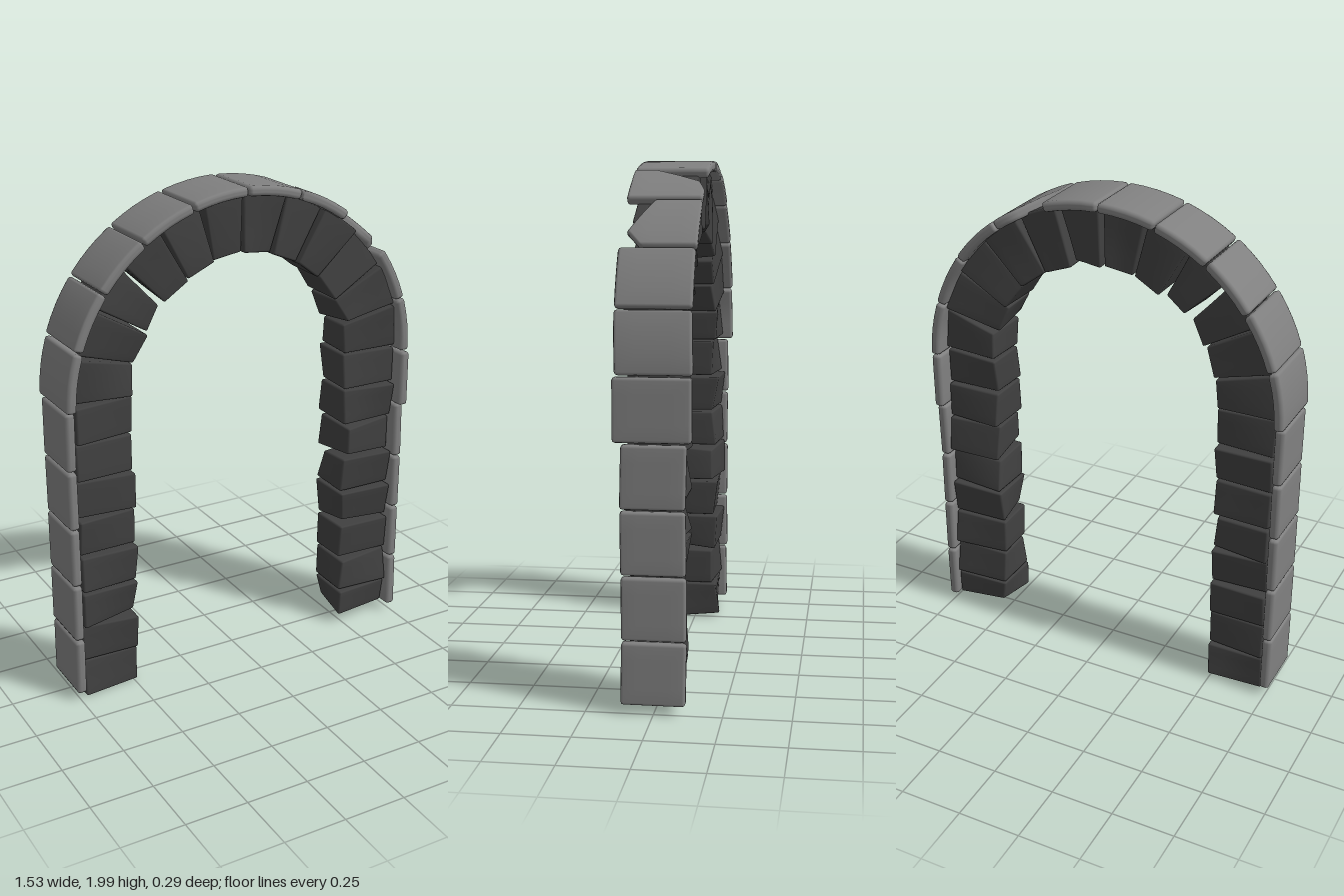
import * as THREE from 'three';
import { mergeVertices } from 'three/addons/utils/BufferGeometryUtils.js';

const { lerp, clamp } = THREE.MathUtils;
const darkStone = new THREE.MeshStandardMaterial({ color: 0x404040 });
const paleStone = new THREE.MeshStandardMaterial({ color: 0x808080 });

const DARK_R = 0.6;      // middle radius of the structural ring
const SLAB_R = 0.745;    // middle radius of the facing slabs
const DARK_Y = 1.25;     // springing heights of the two rings
const SLAB_Y = 1.235;

let seed = 7;
function rand(a, b) {
  seed = (seed * 16807) % 2147483647;
  return a + (b - a) * (seed / 2147483647);
}

// Box with soft edges; x is radial, y runs along the arch, z is depth.
// deform(p) then moves every vertex by a rule.
function softBlock(w, l, d, bevel, deform) {
  const n = 6;
  const half = [w / 2, l / 2, d / 2];
  const geo = new THREE.BoxGeometry(1, 1, 1, n, n, n);
  geo.deleteAttribute('normal');
  geo.deleteAttribute('uv');
  const pos = geo.attributes.position;
  const p = new THREE.Vector3(), core = new THREE.Vector3();
  for (let i = 0; i < pos.count; i++) {
    p.fromBufferAttribute(pos, i);
    for (let k = 0; k < 3; k++) {
      const t = p.getComponent(k), inner = half[k] - bevel;
      const step = Math.round(t * n);
      const c = Math.abs(step) === n / 2 ? Math.sign(step) * half[k] : step / (n / 2 - 1) * inner;
      p.setComponent(k, c);
      core.setComponent(k, clamp(c, -inner, inner));
    }
    p.sub(core);
    if (p.lengthSq() > 1e-12) p.setLength(bevel);
    p.add(core);
    deform(p);
    pos.setXYZ(i, p.x, p.y, p.z);
  }
  const merged = mergeVertices(geo, 1e-5);
  merged.computeVertexNormals();
  return merged;
}

// Rough-hewn block: each of the eight corners is shifted a little
function roughBlock(w, l, d, wedge) {
  const corners = [];
  for (let i = 0; i < 8; i++) {
    const innerSide = !(i & 1);
    const chip = innerSide && rand(0, 1) < 0.12 ? 0.018 : 0;
    const ySign = i & 2 ? 1 : -1, zSign = i & 4 ? 1 : -1;
    corners.push(new THREE.Vector3(
      innerSide ? rand(-0.004, 0.006) + chip : 0,
      -ySign * (rand(0, 0.004) + chip),
      zSign * rand(-0.028, 0.014)));
  }
  return softBlock(w, l, d, 0.008, (p) => {
    const u = p.x / w + 0.5, v = p.y / l + 0.5, t = p.z / d + 0.5;
    const shift = new THREE.Vector3();
    corners.forEach((c, i) => shift.addScaledVector(c,
      (i & 1 ? u : 1 - u) * (i & 2 ? v : 1 - v) * (i & 4 ? t : 1 - t)));
    p.add(shift);
    if (wedge) p.y *= (DARK_R + p.x) / DARK_R;
  });
}

// Depth limits of the two broken slabs; s goes from upper (0) to lower (1) end
const breaks = {
  2: (s) => [lerp(0.07, -0.14, Math.min(s / 0.55, 1)), 0.14],
  3: (s) => [-0.14, s < 0.75 ? lerp(0.03, 0.12, s / 0.75) : lerp(0.12, 0.06, (s - 0.75) / 0.25)],
};

function facingSlab(l, d, curved, limits) {
  const skew = [rand(-0.004, 0.004), rand(-0.004, 0.004)];
  return softBlock(0.04, l, d, 0.012, (p) => {
    const s = 0.5 - p.y / l, t = p.z / d + 0.5;
    if (limits) {
      const [a, b] = limits(clamp(s, 0, 1));
      p.z = lerp(a, b, t);
    } else {
      p.z += lerp(skew[0], skew[1], s);
    }
    if (curved) {
      const a = p.y / SLAB_R, r = SLAB_R + p.x;
      p.x = r * Math.cos(a) - SLAB_R;
      p.y = r * Math.sin(a);
    }
  });
}

export function createModel() {
  seed = 7;
  const model = new THREE.Group();
  const part = (name) => {
    const g = new THREE.Group();
    g.name = name;
    model.add(g);
    return g;
  };
  const put = (group, name, geo, mat, x, y) => {
    const mesh = new THREE.Mesh(geo, mat);
    mesh.name = name;
    mesh.position.set(x, y, 0);
    group.add(mesh);
    return mesh;
  };

  // Pillars with their facing slabs
  for (const side of [1, -1]) {
    const label = side > 0 ? 'left' : 'right';
    const pillar = part(label + 'Pillar');
    const facing = part(label + 'PillarFacing');
    const base = side > 0 ? 0.045 : 0.005;
    const edge = (i) => (i === 0 ? base : 0.01 + i * 0.155);
    for (let i = 0; i < 8; i++) {
      const lo = edge(i), hi = edge(i + 1);
      put(pillar, 'pillarBlock', roughBlock(0.238, hi - lo - 0.004, 0.2, false),
        darkStone, side * DARK_R, (lo + hi) / 2).rotation.y = side > 0 ? 0 : Math.PI;
    }
    const pitch = (SLAB_Y - 0.04) / 5;
    for (let i = 0; i < 5; i++) {
      const depth = side > 0 && i === 4 ? 0.284 : 0.236;
      put(facing, 'pillarSlab', facingSlab(pitch - 0.006, depth, false),
        paleStone, side * SLAB_R, 0.04 + (i + 0.5) * pitch).rotation.y = side > 0 ? 0 : Math.PI;
    }
  }

  // Ring of wedge blocks
  const ring = part('archRing');
  for (let i = 0; i < 12; i++) {
    const a = (i + 0.5) * Math.PI / 12;
    put(ring, 'archBlock', roughBlock(0.238, DARK_R * Math.PI / 12 - 0.004, 0.21, true), darkStone,
      DARK_R * Math.cos(a), DARK_Y + DARK_R * Math.sin(a)).rotation.z = a;
  }

  // Curved slabs over the ring, two of them broken
  const cover = part('archFacing');
  for (let i = 0; i < 10; i++) {
    const a = (i + 0.5) * Math.PI / 10;
    put(cover, 'archSlab', facingSlab(SLAB_R * Math.PI / 10 - 0.006, 0.278, true, breaks[i + 0 === 3 ? 2 : i === 2 ? 3 : 0]),
      paleStone, SLAB_R * Math.cos(a), SLAB_Y + SLAB_R * Math.sin(a)).rotation.z = a;
  }
  return model;
}
